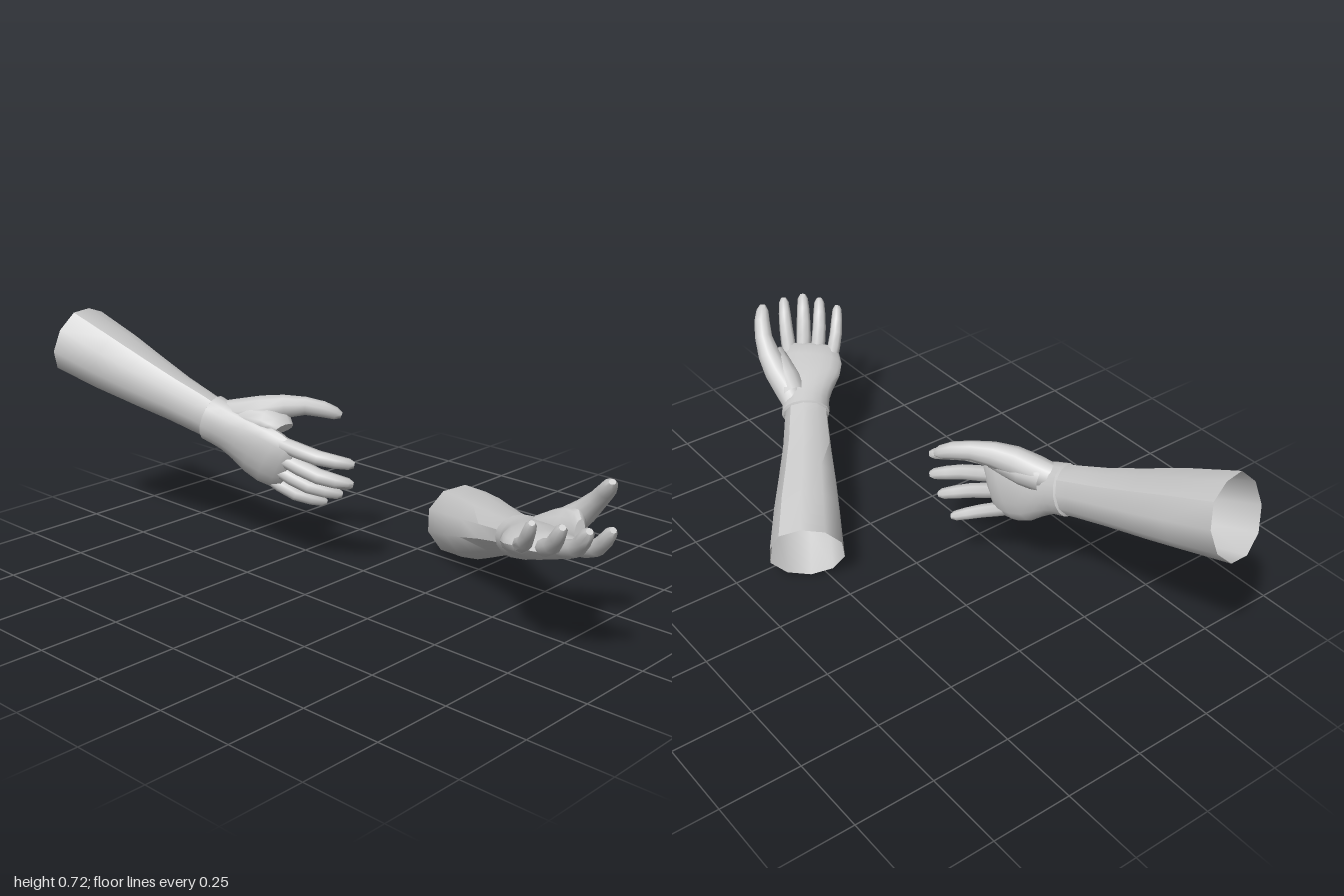
import * as THREE from 'three';
import { toCreasedNormals } from 'three/addons/utils/BufferGeometryUtils.js';

const round = (n) => Array.from({ length: n }, (_, i) => [(i / n) * Math.PI * 2, 1]);
// Forearm outline: a broad flatter facet on the thumb side, rounded elsewhere
const SLEEVE = [0, 35, 72, 108, 144, 180, 216, 252, 288, 324]
  .map((d) => [d * Math.PI / 180, d === 72 ? 0.92 : 1]);

// Skins cross-sections [x, y, z, radius toward palm, radius toward thumb, slant].
// Local axes: +x palm side, +y thumb side, +z fingertips. side -1 mirrors x.
function loft(sections, outline, side, capped, crease) {
  const n = outline.length, pos = [], idx = [];
  const pts = sections.map((s) => new THREE.Vector3(s[0], s[1], s[2]));
  const up = new THREE.Vector3(0, 1, 0);
  sections.forEach(([, , , rx, ry, slant = 0], i) => {
    const t = pts[Math.min(i + 1, pts.length - 1)].clone().sub(pts[Math.max(i - 1, 0)]).normalize();
    const ex = up.clone().cross(t).normalize();
    const ey = t.clone().cross(ex);
    for (const [a, k] of outline) {
      const v = pts[i].clone()
        .addScaledVector(ex, Math.cos(a) * rx * k)
        .addScaledVector(ey, Math.sin(a) * ry * k);
      v.z += slant * (v.y - pts[i].y);
      pos.push(v.x * side, v.y, v.z);
    }
  });
  const tri = (a, b, c) => (side > 0 ? idx.push(a, b, c) : idx.push(a, c, b));
  for (let i = 0; i < sections.length - 1; i++) {
    for (let j = 0; j < n; j++) {
      const a = i * n + j, b = i * n + ((j + 1) % n);
      tri(a, b, a + n);
      tri(b, b + n, a + n);
    }
  }
  if (capped) {
    const last = (sections.length - 1) * n, p = pts[pts.length - 1];
    pos.push(p.x * side, p.y, p.z);
    for (let j = 0; j < n; j++) tri(last + j, last + ((j + 1) % n), last + n);
  }
  const g = new THREE.BufferGeometry();
  g.setAttribute('position', new THREE.Float32BufferAttribute(pos, 3));
  g.setIndex(idx);
  return toCreasedNormals(g, crease);
}

// Finger: base, middle joint and tip, tapering to a rounded end
function fingerSections(base, mid, tip, r) {
  const curve = new THREE.CatmullRomCurve3([base, mid, tip].map((p) => new THREE.Vector3(...p)));
  return [[0, 1], [0.25, 1.05], [0.5, 1], [0.75, 0.9], [0.93, 0.74], [1, 0.4]].map(([t, k]) => {
    const p = curve.getPoint(t);
    return [p.x, p.y, p.z, r * k, r * k];
  });
}

const FINGERS = {
  indexFinger: [[0.002, 0.052, 0.26], [0.014, 0.066, 0.385], [0.068, 0.068, 0.48], 0.023],
  middleFinger: [[0, 0.008, 0.27], [0.014, 0.006, 0.4], [0.065, 0.002, 0.492], 0.024],
  ringFinger: [[0, -0.038, 0.255], [0.016, -0.048, 0.372], [0.07, -0.056, 0.46], 0.023],
  littleFinger: [[0.002, -0.086, 0.225], [0.02, -0.105, 0.33], [0.075, -0.118, 0.41], 0.021],
};

function createArm(name, side, wrist, forward, thumbward) {
  const arm = new THREE.Group();
  arm.name = name;
  const mat = new THREE.MeshStandardMaterial({ color: 0xcccccc, side: THREE.DoubleSide });
  const add = (part, sections, outline, capped, crease = 0.95) => {
    const mesh = new THREE.Mesh(loft(sections, outline, side, capped, crease), mat);
    mesh.name = part;
    arm.add(mesh);
  };

  // Open sleeve, tucked into the glove
  add('sleeve', [
    [-0.01, 0, -0.56, 0.113, 0.12],
    [-0.009, 0, -0.4, 0.102, 0.108],
    [-0.006, -0.002, -0.28, 0.086, 0.096],
    [-0.002, -0.002, -0.15, 0.068, 0.082],
    [0, 0, -0.04, 0.058, 0.075],
    [0, 0, 0.03, 0.055, 0.071],
  ], SLEEVE, false, 0.69);

  // Glove with a thin wrist rim and slanted knuckle line
  add('palm', [
    [0, 0, -0.004, 0.055, 0.071],
    [0, 0, 0, 0.062, 0.078],
    [0, 0, 0.04, 0.059, 0.077],
    [0.002, -0.003, 0.075, 0.055, 0.078, 0.04],
    [0.004, -0.008, 0.12, 0.052, 0.086, 0.08],
    [0.004, -0.016, 0.175, 0.047, 0.098, 0.15],
    [0.003, -0.02, 0.23, 0.039, 0.101, 0.22],
    [0.003, -0.019, 0.275, 0.032, 0.094, 0.25],
    [0.005, -0.018, 0.298, 0.017, 0.083, 0.25],
  ], round(16), true, 0.8);

  for (const [part, [base, mid, tip, r]] of Object.entries(FINGERS)) {
    add(part, fingerSections(base, mid, tip, r), round(8), true);
  }

  // Thumb arching out of the ball of the hand
  add('thumb', [
    [0.01, 0.03, 0.03, 0.035, 0.04],
    [0.03, 0.055, 0.085, 0.046, 0.044],
    [0.058, 0.085, 0.14, 0.044, 0.043],
    [0.092, 0.108, 0.19, 0.034, 0.037],
    [0.126, 0.122, 0.24, 0.026, 0.029],
    [0.152, 0.124, 0.288, 0.023, 0.026],
    [0.17, 0.12, 0.322, 0.018, 0.02],
    [0.178, 0.118, 0.338, 0.008, 0.01],
  ], round(10), true);

  // Skin filling the fork between thumb and index finger
  add('thumbWeb', [
    [0.024, 0.035, 0.06, 0.045, 0.045],
    [0.036, 0.055, 0.12, 0.054, 0.046],
    [0.046, 0.073, 0.175, 0.056, 0.038],
    [0.046, 0.078, 0.21, 0.05, 0.026],
    [0.04, 0.076, 0.235, 0.034, 0.014],
  ], round(12), true);

  // Aim the arm along its forearm and roll it toward the thumb
  const z = new THREE.Vector3(...forward).normalize();
  const x = new THREE.Vector3(...thumbward).cross(z).normalize();
  const y = z.clone().cross(x);
  arm.quaternion.setFromRotationMatrix(new THREE.Matrix4().makeBasis(x, y, z));
  arm.position.set(...wrist);
  return arm;
}

export function createModel() {
  const model = new THREE.Group();
  model.name = 'glovedArms';
  model.add(createArm('rightArm', 1, [-0.21, 0.445, -0.43], [0.16, -0.32, 0.935], [-0.108, 0.937, 0.335]));
  model.add(createArm('leftArm', -1, [0.02, 0.26, 0.58], [-0.535, 0.25, 0.8], [0.81, -0.095, 0.578]));
  return model;
}
